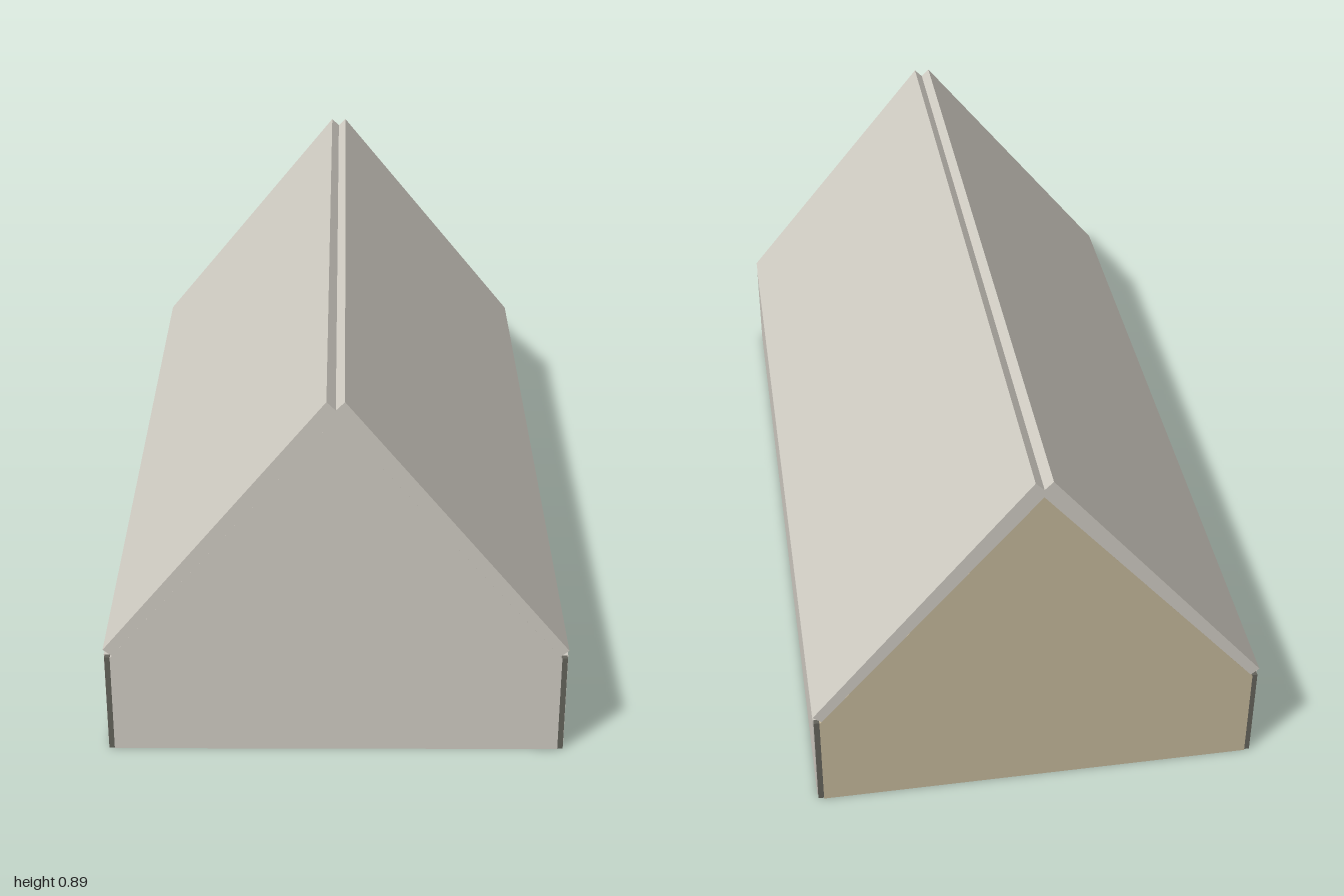
import * as THREE from 'three';

const paint = (name, color) => {
  const m = new THREE.MeshStandardMaterial({ color });
  m.name = name;
  return m;
};

// Extrudes a profile drawn in x/y from z0 to z1.
function slab(points, z0, z1) {
  const shape = new THREE.Shape(points.map(([x, y]) => new THREE.Vector2(x, y)));
  const geo = new THREE.ExtrudeGeometry(shape, { depth: z1 - z0, bevelEnabled: false });
  return geo.translate(0, 0, z0);
}

export function createModel() {
  const panelGrey = paint('panelGrey', 0xcfcbc2);
  const coreTan = paint('coreTan', 0xc3b699);
  const jointDark = paint('jointDark', 0x64635b);
  const house = new THREE.Group();
  house.name = 'house';

  const add = (name, geo, mat, x = 0, y = 0, z = 0) => {
    const mesh = new THREE.Mesh(geo, mat);
    mesh.name = name;
    mesh.position.set(x, y, z);
    house.add(mesh);
  };

  const inner = 0.515, outer = 0.53, wallTop = 0.248, end = 0.985;
  const gable = [[-inner, 0], [inner, 0], [inner, wallTop], [0, 0.855], [-inner, wallTop]];

  // Solid core with floor and plain rear gable
  add('coreAndRearGable', slab(gable, -1, end), coreTan);

  // Front gable panel
  add('frontGable', slab(gable, end, 1), panelGrey);

  // Two roof slopes with square-cut eaves and a V groove along the ridge
  add('roof', slab([
    [0.53, 0.27], [0.02, 0.895], [0, 0.875], [-0.02, 0.895], [-0.53, 0.27],
    [-0.51, 0.254], [0, 0.855], [0.51, 0.254],
  ], -1, 1), panelGrey);

  // Side walls and the dark joints at the four corners
  const t = outer - inner;
  for (const s of [1, -1]) {
    add(s > 0 ? 'leftWall' : 'rightWall', new THREE.BoxGeometry(t, wallTop, end * 2),
      panelGrey, s * (inner + t / 2), wallTop / 2, 0);
    for (const f of [1, -1]) {
      add('cornerJoint', new THREE.BoxGeometry(0.013, wallTop, 0.012),
        jointDark, s * (inner + 0.0065), wallTop / 2, f * (end + 0.006));
    }
  }
  return house;
}
